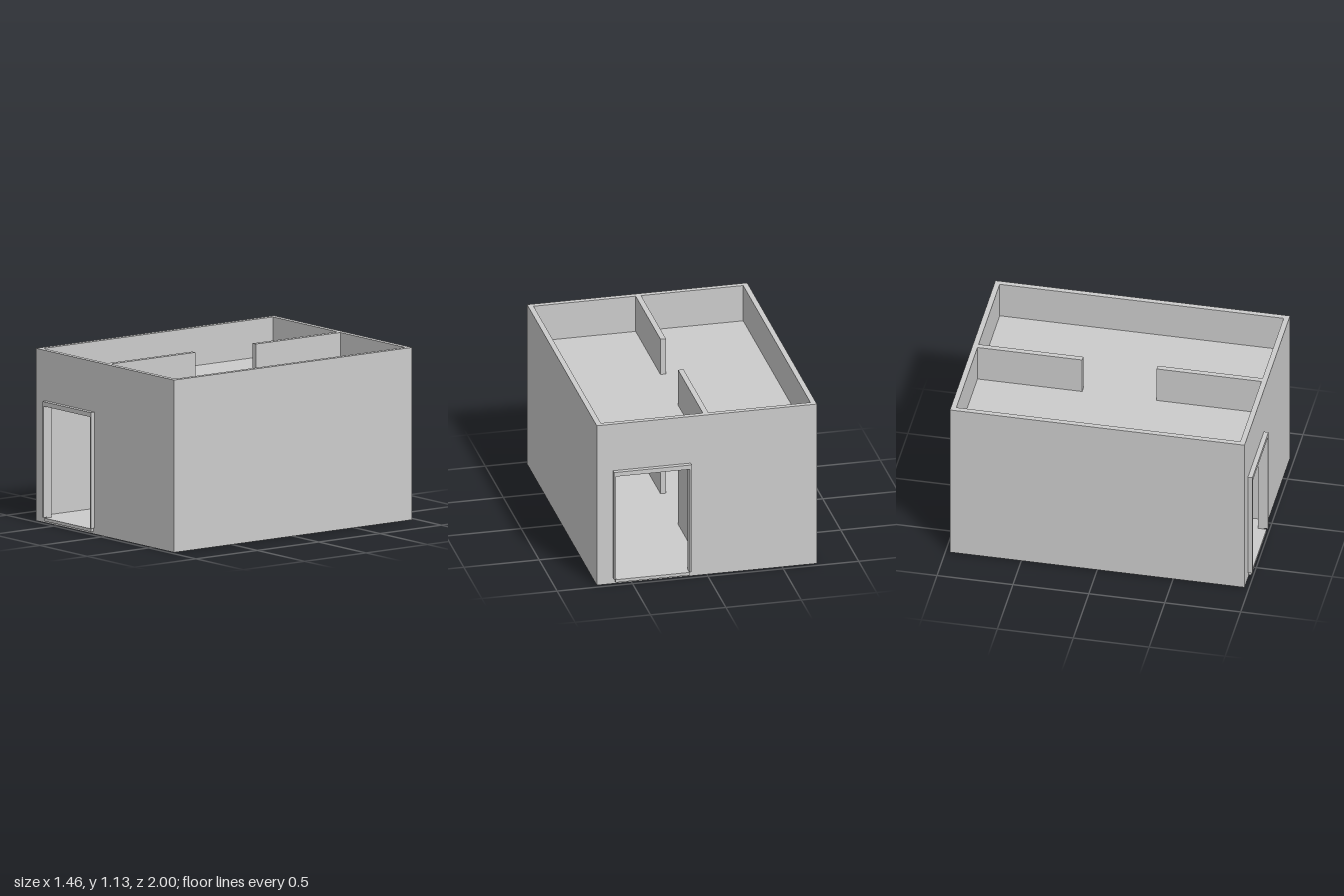
import * as THREE from 'three';

const W = 0.73, D = 0.97, H = 1.13;   // half width, half depth, height
const T = 0.035;                      // wall and slab thickness
const DECK = 0.88;                    // top of the upper floor
const DOOR = { x0: -0.61, x1: -0.12, y0: T, y1: 0.77 };

const material = new THREE.MeshStandardMaterial({ color: 0xcccccc, flatShading: true });

// Box given by its minimum and maximum corners
function box(name, [x0, y0, z0], [x1, y1, z1]) {
  const geometry = new THREE.BoxGeometry(x1 - x0, y1 - y0, z1 - z0);
  geometry.translate((x0 + x1) / 2, (y0 + y1) / 2, (z0 + z1) / 2);
  const mesh = new THREE.Mesh(geometry, material);
  mesh.name = name;
  return mesh;
}

// Flat outline pushed along z from z0 to z1
function slab(name, shape, z0, z1) {
  const geometry = new THREE.ExtrudeGeometry(shape, { depth: z1 - z0, bevelEnabled: false });
  geometry.translate(0, 0, z0);
  const mesh = new THREE.Mesh(geometry, material);
  mesh.name = name;
  return mesh;
}

const polygon = (points) => points.map(([x, y]) => new THREE.Vector2(x, y));

// End wall with doorway, door surround, threshold and its half of the partition
function createEnd(name) {
  const end = new THREE.Group();
  end.name = name;
  const { x0, x1, y0, y1 } = DOOR;

  const wall = new THREE.Shape(polygon([[-W, 0], [W, 0], [W, H], [-W, H]]));
  wall.holes.push(new THREE.Path(polygon([[x0, y0], [x0, y1], [x1, y1], [x1, y0]])));
  end.add(slab('endWall', wall, D - T, D));

  // Surround: two thin jambs joined by a taller head
  const jamb = 0.012, foot = 0.04, top = 0.8;
  const surround = new THREE.Shape(polygon([
    [x0 - jamb, foot], [x0, foot], [x0, y1], [x1, y1],
    [x1, foot], [x1 + jamb, foot], [x1 + jamb, top], [x0 - jamb, top],
  ]));
  end.add(slab('doorSurround', surround, D, 1));

  end.add(box('threshold', [x0, 0.015, D], [x1, T, 0.99]));
  end.add(box('partition', [-0.018, T, 0.245], [0.018, H, D - T]));
  return end;
}

export function createModel() {
  const model = new THREE.Group();
  model.name = 'building';

  // Floors
  const inX = W - T, inZ = D - T;
  model.add(box('groundFloor', [-inX, 0, -inZ], [inX, T, inZ]));
  model.add(box('upperFloor', [-inX, DECK - T, -inZ], [inX, DECK, inZ]));

  // Side walls
  model.add(box('rightWall', [-W, 0, -inZ], [-inX, H, inZ]));
  model.add(box('leftWall', [inX, 0, -inZ], [W, H, inZ]));

  // The back is the front turned half way round
  const front = createEnd('frontEnd');
  const back = createEnd('backEnd');
  back.rotation.y = Math.PI;
  model.add(front, back);
  return model;
}
